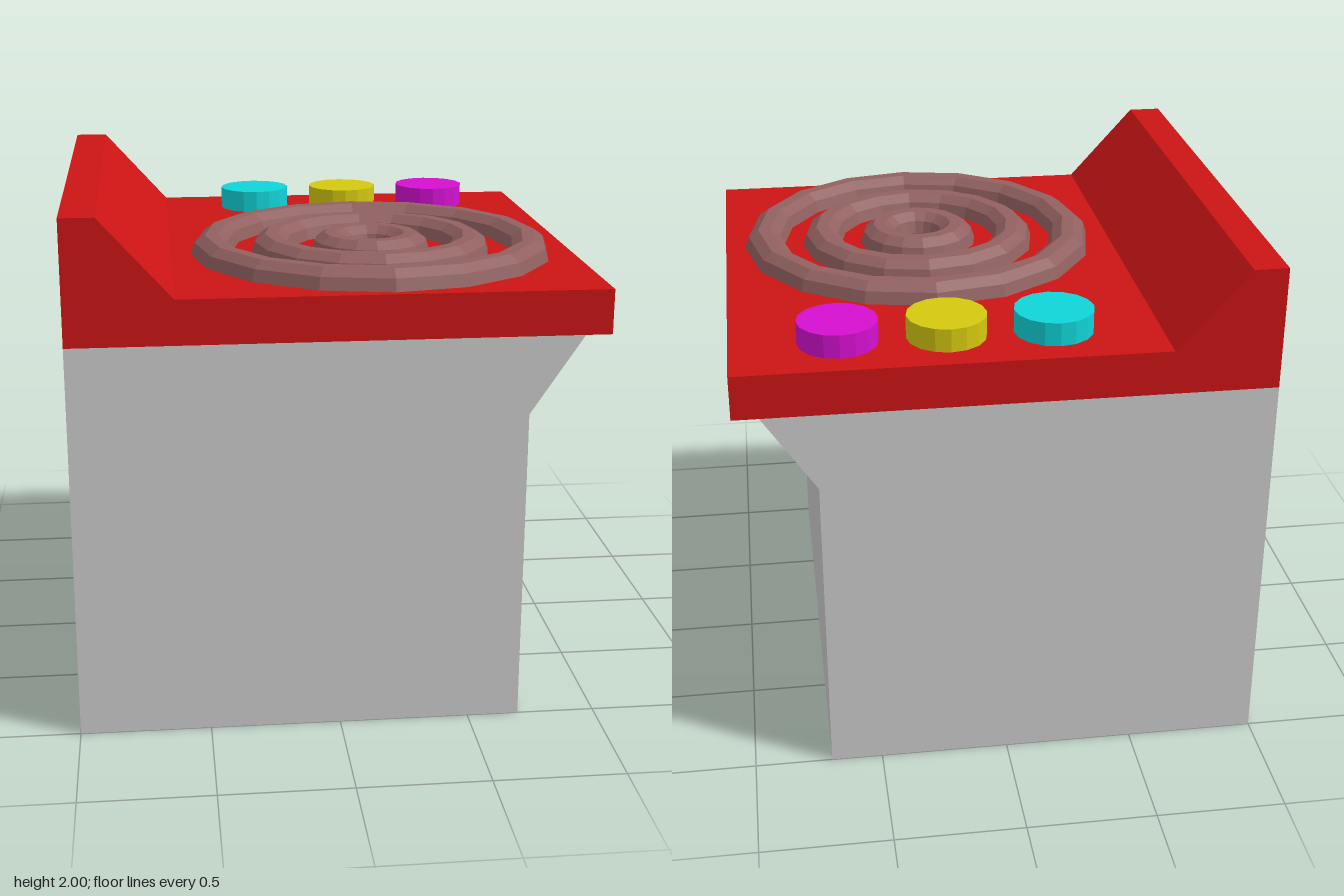
import * as THREE from 'three';

const material = (color, extra = {}) =>
  new THREE.MeshStandardMaterial({ color, flatShading: true, ...extra });

// Extrudes an x/y outline through the full depth, z = -1 to 1
function extrudeProfile(points) {
  const shape = new THREE.Shape(points.map(([x, y]) => new THREE.Vector2(x, y)));
  return new THREE.ExtrudeGeometry(shape, { depth: 2, bevelEnabled: false }).translate(0, 0, -1);
}

// Drops the triangles lying on the ground, leaving the underside open
function openBottom(geometry) {
  const source = geometry.toNonIndexed().getAttribute('position');
  const kept = [];
  for (let i = 0; i < source.count; i += 3) {
    const corners = [i, i + 1, i + 2];
    if (corners.every((k) => Math.abs(source.getY(k)) < 1e-6)) continue;
    for (const k of corners) kept.push(source.getX(k), source.getY(k), source.getZ(k));
  }
  const result = new THREE.BufferGeometry();
  result.setAttribute('position', new THREE.Float32BufferAttribute(kept, 3));
  result.computeVertexNormals();
  return result;
}

export function createModel() {
  const model = new THREE.Group();
  model.name = 'stove';
  const add = (name, geometry, mat, x = 0, y = 0, z = 0) => {
    const mesh = new THREE.Mesh(geometry, mat);
    mesh.name = name;
    mesh.position.set(x, y, z);
    model.add(mesh);
  };
  const topY = 1.7;

  // Hollow cabinet, flared out under the worktop on one side
  const cabinet = extrudeProfile([[-1, 0], [0.7, 0], [0.7, 1.23], [0.9, 1.53], [-1, 1.53]]);
  add('cabinet', openBottom(cabinet), material(0xcccccc, { side: THREE.DoubleSide }));

  // Worktop with a sloped raised edge
  add('worktop',
    extrudeProfile([[-1, 1.53], [1, 1.53], [1, topY], [-0.6, topY], [-0.87, 2], [-1, 2]]),
    material(0xcc1414));

  // Concentric heating rings, half sunk into the worktop
  const ringMaterial = material(0x916060);
  [0.16, 0.4, 0.64].forEach((radius, i) => {
    const ring = new THREE.TorusGeometry(radius, 0.08, 10, 16).rotateX(-Math.PI / 2);
    add(`heatingRing${i + 1}`, ring, ringMaterial, 0.2, topY, 0.25);
  });

  // Row of coloured control buttons
  const button = new THREE.CylinderGeometry(0.15, 0.15, 0.09, 16);
  [['cyanButton', 0x10d4d8], ['yellowButton', 0xd4c810], ['magentaButton', 0xd410d0]]
    .forEach(([name, color], i) =>
      add(name, button, material(color), -0.2 + 0.4 * i, topY + 0.045, -0.75));

  return model;
}
